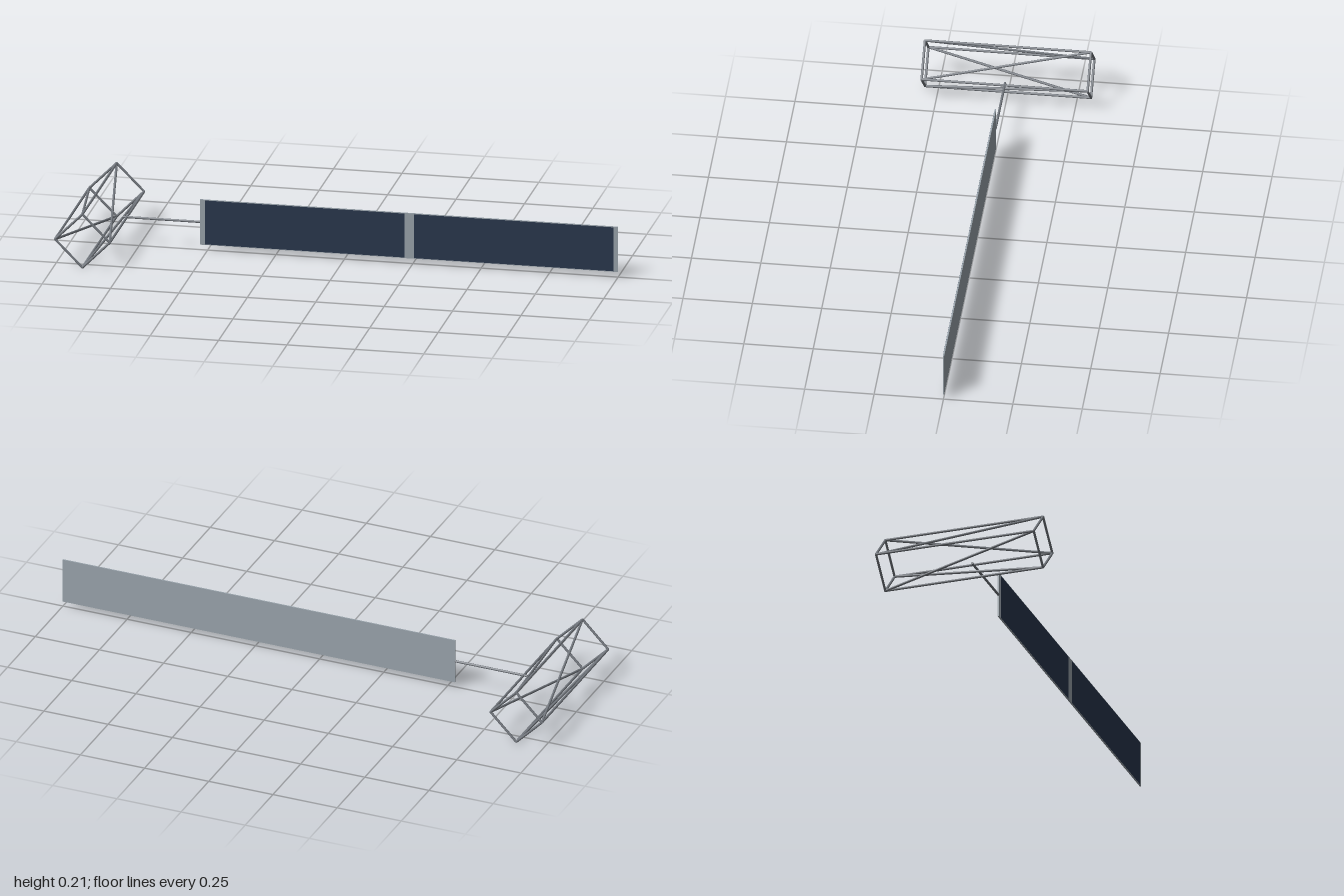
import * as THREE from 'three';

export function createModel() {
  const model = new THREE.Group();
  const mat = (name, color) => {
    const m = new THREE.MeshStandardMaterial({ color });
    m.name = name;
    return m;
  };
  const strutMetal = mat('strut grey', 0x767b82);
  const panelGrey = mat('panel grey', 0x9aa4ac);
  const cellBlue = mat('solar cell blue', 0x28374d);

  const midY = 0.105, trussX = -0.895, half = 0.1, halfLength = 0.299;

  // Round bar between two points
  function bar(name, a, b, radius, parent) {
    const dir = b.clone().sub(a);
    const mesh = new THREE.Mesh(new THREE.CylinderGeometry(radius, radius, dir.length(), 8), strutMetal);
    mesh.name = name;
    mesh.position.copy(a).add(b).multiplyScalar(0.5);
    mesh.quaternion.setFromUnitVectors(new THREE.Vector3(0, 1, 0), dir.normalize());
    parent.add(mesh);
  }

  // Box truss with a diamond section: corners run top, left, bottom, right
  const truss = new THREE.Group();
  truss.name = 'truss';
  const corner = (i, z) => new THREE.Vector3(
    trussX - half * Math.sin(i * Math.PI / 2), midY + half * Math.cos(i * Math.PI / 2), z);
  for (let i = 0; i < 4; i++) {
    bar('longeron', corner(i, -halfLength), corner(i, halfLength), 0.0045, truss);
    for (const z of [-halfLength, halfLength]) bar('endFrameBar', corner(i, z), corner(i + 1, z), 0.0045, truss);
    // One diagonal per side, winding around the truss
    bar('diagonalBrace', corner(i, halfLength), corner(i + 1, -halfLength), 0.0045, truss);
  }
  model.add(truss);

  // Boom joining the truss to the panel
  bar('boom', new THREE.Vector3(-0.81, midY, 0), new THREE.Vector3(-0.528, midY, 0), 0.0045, model);

  // Long flat panel with two fields of cells on its front
  const wing = new THREE.Group();
  wing.name = 'solarWing';
  const backing = new THREE.Mesh(new THREE.BoxGeometry(1.528, 0.17, 0.005), panelGrey);
  backing.name = 'panelBacking';
  backing.position.set(0.236, midY, 0);
  wing.add(backing);
  for (const side of [-1, 1]) {
    const cells = new THREE.Mesh(new THREE.BoxGeometry(0.729, 0.165, 0.0008), cellBlue);
    cells.name = 'cellField';
    cells.position.set(0.237 + side * 0.382, midY, 0.0028);
    wing.add(cells);
  }
  model.add(wing);
  return model;
}
